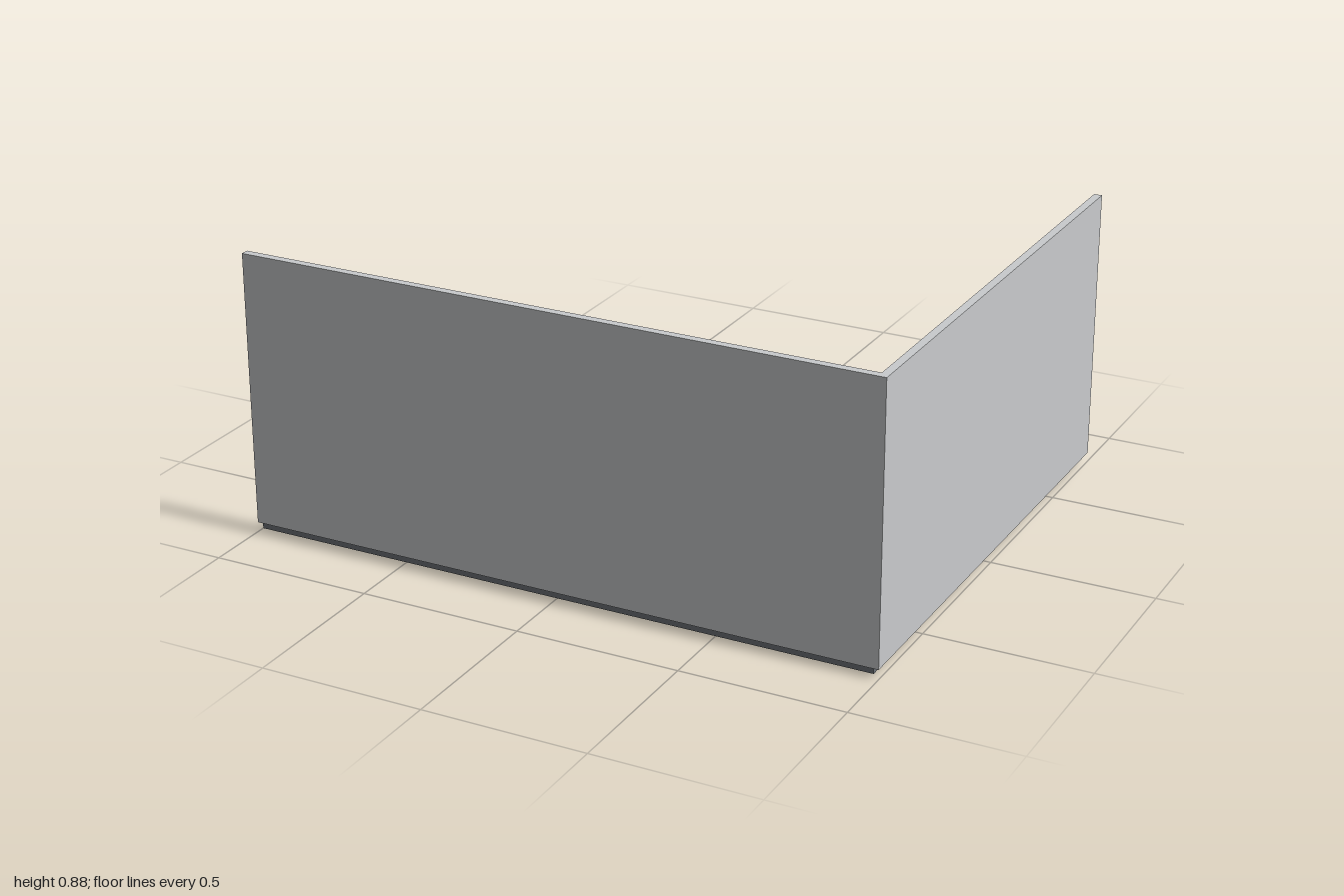
import * as THREE from 'three';

const mat = (name, color) => {
  const m = new THREE.MeshStandardMaterial({ color });
  m.name = name;
  return m;
};

export function createModel() {
  const light = mat('light grey', 0xc9cbcd);
  const dark = mat('charcoal', 0x6e7378);
  const blue = mat('soft blue', 0x7b9db8);
  const copper = mat('copper', 0xc47c56);

  const root = new THREE.Group();
  root.name = 'gymRoom';

  const add = (parent, name, geometry, material, x, y, z) => {
    const mesh = new THREE.Mesh(geometry, material);
    mesh.name = name;
    mesh.position.set(x, y, z);
    parent.add(mesh);
    return mesh;
  };
  // Box given by its lower and upper limits on each axis
  const box = (parent, name, material, [x0, x1], [y0, y1], [z0, z1]) =>
    add(parent, name, new THREE.BoxGeometry(x1 - x0, y1 - y0, z1 - z0), material,
      (x0 + x1) / 2, (y0 + y1) / 2, (z0 + z1) / 2);
  // Cylinder lying along x
  const rod = (parent, name, material, r, length, sides, x, y, z) =>
    add(parent, name, new THREE.CylinderGeometry(r, r, length, sides).rotateZ(Math.PI / 2), material, x, y, z);
  const group = (name) => {
    const g = new THREE.Group();
    g.name = name;
    root.add(g);
    return g;
  };

  // Room shell
  const floorY = 0.03;
  box(root, 'floor', dark, [-1, 0.975], [0, floorY], [-0.775, 0.775]);
  box(root, 'frontWall', light, [-1, 1], [floorY, 0.875], [0.775, 0.8]);
  box(root, 'sideWall', light, [0.975, 1], [floorY, 0.875], [-0.8, 0.775]);
  box(root, 'wallMirror', light, [-0.95, 0.917], [0.143, 0.677], [0.766, 0.775]);
  box(root, 'wallStripe', copper, [0.965, 0.975], [0.69, 0.735], [-0.79, 0.775]);

  // Exercise mat
  box(root, 'exerciseMat', blue, [-0.79, -0.592], [floorY, 0.043], [-0.357, 0.12]);

  // Treadmills
  for (const cx of [0.35, 0.66]) {
    const t = group('treadmill');
    box(t, 'deck', dark, [cx - 0.11, cx + 0.11], [floorY, 0.09], [0.166, 0.67]);
    box(t, 'belt', dark, [cx - 0.08, cx + 0.08], [0.09, 0.098], [0.2, 0.61]);
    for (const s of [-1, 1]) {
      const px = cx + s * 0.098;
      box(t, 'post', light, [px - 0.009, px + 0.009], [0.09, 0.38], [0.641, 0.659]);
    }
    const head = new THREE.Group();
    head.name = 'consoleUnit';
    head.position.set(cx, 0.395, 0.648);
    head.rotation.x = 0.12;
    t.add(head);
    box(head, 'console', dark, [-0.11, 0.11], [-0.043, 0.043], [-0.018, 0.018]);
    box(head, 'display', blue, [-0.06, 0.06], [-0.024, 0.026], [-0.022, -0.018]);
  }

  // Two-tier dumbbell rack
  const rack = group('dumbbellRack');
  for (const top of [0.147, 0.267]) {
    box(rack, 'shelf', light, [0.827, 0.945], [top - 0.018, top], [-0.42, 0.075]);
    for (let i = 0; i < 6; i++) {
      const z = -0.385 + i * 0.0842;
      rod(rack, 'dumbbellHandle', dark, 0.007, 0.08, 10, 0.883, top + 0.021, z);
      for (const s of [-1, 1])
        rod(rack, 'dumbbellHead', dark, 0.021, 0.018, 12, 0.883 + s * 0.034, top + 0.021, z);
    }
  }

  // Weight bench
  const bench = group('bench');
  box(bench, 'benchPad', dark, [-0.4, -0.312], [0.13, 0.155], [0.197, 0.525]);
  for (const z of [0.235, 0.487])
    box(bench, 'benchLeg', light, [-0.391, -0.321], [floorY, 0.13], [z - 0.02, z + 0.02]);

  // Barbell on its uprights
  const barbell = group('barbell');
  const bx = -0.356, by = 0.33, bz = 0.515;
  rod(barbell, 'bar', light, 0.005, 0.57, 12, bx, by, bz);
  for (const s of [-1, 1]) {
    rod(barbell, 'largePlate', dark, 0.06, 0.016, 24, bx + s * 0.196, by, bz);
    rod(barbell, 'smallPlate', dark, 0.048, 0.014, 24, bx + s * 0.226, by, bz);
    const ux = bx + s * 0.13;
    box(barbell, 'upright', light, [ux - 0.007, ux + 0.007], [floorY, 0.375], [bz - 0.007, bz + 0.007]);
  }

  return root;
}
